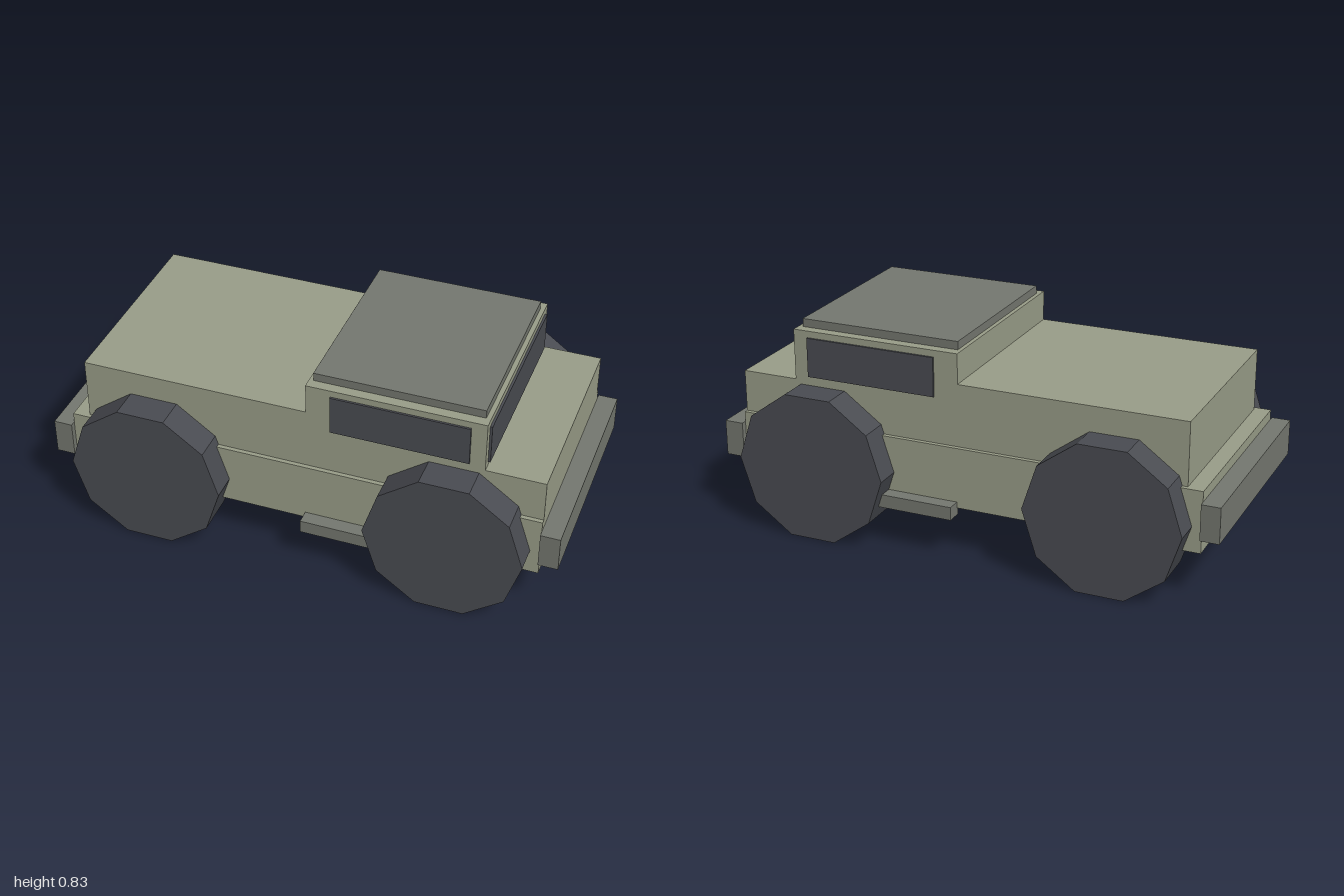
import * as THREE from 'three';

export function createModel() {
  const model = new THREE.Group();
  model.name = 'offRoadTruck';

  const material = (name, color) => {
    const m = new THREE.MeshStandardMaterial({ color, flatShading: true });
    m.name = name;
    return m;
  };
  const paint = material('sagePaint', 0x9a9e89);
  const trim = material('greyTrim', 0x757870);
  const dark = material('darkRubberAndGlass', 0x4a4c52);

  // Box given by its minimum and maximum along each axis
  const box = (name, mat, [x0, x1], [y0, y1], [z0, z1]) => {
    const mesh = new THREE.Mesh(new THREE.BoxGeometry(x1 - x0, y1 - y0, z1 - z0), mat);
    mesh.position.set((x0 + x1) / 2, (y0 + y1) / 2, (z0 + z1) / 2);
    mesh.name = name;
    model.add(mesh);
  };

  // Body, nose towards +x
  box('chassis', paint, [-0.927, 0.925], [0.19, 0.43], [-0.42, 0.42]);
  box('cargoBox', paint, [-0.865, 0.022], [0.43, 0.675], [-0.403, 0.403]);
  box('cab', paint, [0.022, 0.7], [0.43, 0.793], [-0.403, 0.403]);
  box('hood', paint, [0.7, 0.925], [0.43, 0.594], [-0.403, 0.403]);
  box('roofPanel', trim, [0.038, 0.682], [0.793, 0.825], [-0.363, 0.363]);

  // Bumpers and windscreen
  box('noseBumper', trim, [0.925, 1], [0.25, 0.39], [-0.443, 0.443]);
  box('tailBumper', trim, [-1, -0.927], [0.25, 0.39], [-0.443, 0.443]);
  box('windscreen', dark, [0.7, 0.709], [0.61, 0.767], [-0.372, 0.372]);

  // Ten-sided wheel with flats at top and bottom
  const wheelGeometry = new THREE.CylinderGeometry(0.303, 0.303, 0.175, 10, 1, false, Math.PI / 10);
  wheelGeometry.rotateX(Math.PI / 2);

  // Parts mirrored on both long sides
  for (const side of [-1, 1]) {
    const label = side > 0 ? 'front' : 'back';
    const span = (a, b) => (side > 0 ? [a, b] : [-b, -a]);
    box(label + 'SideWindow', dark, [0.117, 0.642], [0.613, 0.767], span(0.403, 0.411));
    box(label + 'SideStep', trim, [0.022, 0.7], [0.162, 0.214], span(0.41, 0.475));
    for (const x of [-0.587, 0.585]) {
      const wheel = new THREE.Mesh(wheelGeometry, dark);
      wheel.position.set(x, 0.288, side * 0.4375);
      wheel.name = label + (x > 0 ? 'NoseWheel' : 'TailWheel');
      model.add(wheel);
    }
  }
  return model;
}
